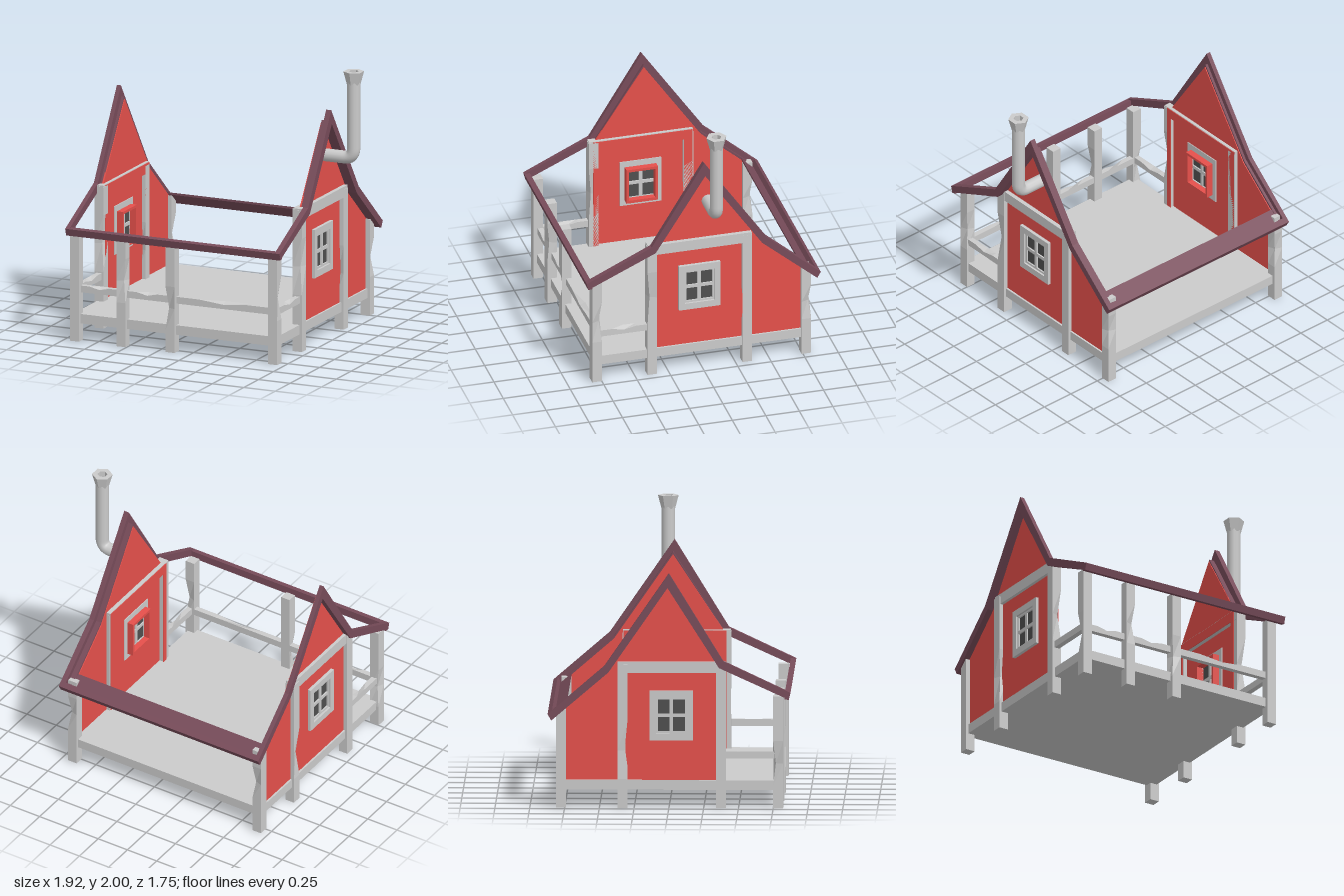
import * as THREE from 'three';

const mat = (color) => new THREE.MeshStandardMaterial({ color, flatShading: true, side: THREE.DoubleSide });

export function createModel() {
  const root = new THREE.Group();
  const grey = mat(0xcccccc), red = mat(0xe6504b), plum = mat(0x784c5a), dark = mat(0x4f4f4f);

  const add = (name, geo, material, parent = root) => {
    const m = new THREE.Mesh(geo, material);
    m.name = name;
    parent.add(m);
    return m;
  };
  const box = (x0, x1, y0, y1, z0, z1) =>
    new THREE.BoxGeometry(x1 - x0, y1 - y0, z1 - z0).translate((x0 + x1) / 2, (y0 + y1) / 2, (z0 + z1) / 2);

  // Side profile given as [z, y] points, extruded along x between two planes
  const toPts = (a) => a.map(([z, y]) => new THREE.Vector2(z, y));
  const rect = (z0, z1, y0, y1) => [[z0, y0], [z1, y0], [z1, y1], [z0, y1]];
  const slab = (pts, xa, xb, holes = []) => {
    const shape = new THREE.Shape(toPts(pts));
    holes.forEach((h) => shape.holes.push(new THREE.Path(toPts(h))));
    return new THREE.ExtrudeGeometry(shape, { depth: Math.abs(xb - xa), bevelEnabled: false })
      .rotateY(-Math.PI / 2).translate(Math.max(xa, xb), 0, 0);
  };

  // Rough-hewn timber: a box with one corner chipped at mid height
  const post = (name, x, z, h, n, parent = root) => {
    const w = 0.072, g = new THREE.BoxGeometry(w, h, w, 1, 5, 1), p = g.attributes.position;
    const sx = n % 2 ? 1 : -1, sz = n % 3 ? 1 : -1, level = 2 + (n % 2);
    for (let i = 0; i < p.count; i++) {
      const ring = Math.round((p.getY(i) / h + 0.5) * 5);
      if (ring === level && p.getX(i) * sx > 0 && p.getZ(i) * sz > 0) {
        p.setX(i, p.getX(i) - sx * 0.02);
        p.setZ(i, p.getZ(i) - sz * 0.02);
      }
    }
    add(name, g.translate(x, h / 2, z), grey, parent);
  };
  // Rail with a shallow notch in its upper edge
  const rail = (name, length, x, z, alongZ) => {
    const g = new THREE.BoxGeometry(length, 0.05, 0.04, 4, 1, 1), p = g.attributes.position;
    for (let i = 0; i < p.count; i++)
      if (Math.abs(p.getX(i)) < 0.01 && p.getY(i) > 0 && p.getZ(i) > 0) p.setY(i, 0.007);
    if (alongZ) g.rotateY(Math.PI / 2);
    add(name, g.translate(x, 0.385, z), grey);
  };

  // Floor platform with its perimeter beam
  add('floor', box(-0.93, 0.68, 0.13, 0.2, -0.79, 0.795), grey);

  // Porch posts and front rails
  const frontX = [-0.914, -0.545, -0.155, 0.66];
  frontX.forEach((x, i) => post('porchPost', x, 0.785, 0.815, i));
  for (let i = 0; i < 3; i++)
    rail('frontRail', frontX[i + 1] - frontX[i] - 0.06, (frontX[i] + frontX[i + 1]) / 2, 0.77, false);

  // Roof edge profiles, from front eave over the ridge to the back eave
  const upper = [[0.875, 0.842], [0.39, 1.07], [0, 1.705], [-0.465, 1.03], [-0.872, 0.68]];
  const lower = [[0.86, 0.793], [0.36, 1.02], [-0.01, 1.6], [-0.435, 0.985], [-0.845, 0.635]];
  const inner = lower.slice(1);
  const band = [...upper, ...[...lower].reverse()];
  const soffit = [...inner.map(([z, y]) => [z, y + 0.022]), ...[...inner].reverse()];
  const wallShape = [[0.37, 0.2], [0.37, 1.03], [-0.01, 1.605], [-0.435, 0.99], [-0.76, 0.71], [-0.76, 0.2]];
  const windowHole = rect(-0.1, 0.135, 0.53, 0.805);

  const buildSide = (s, wallX, roofW, lipW, postHalf) => {
    const side = new THREE.Group();
    side.name = s > 0 ? 'leftSide' : 'rightSide';
    root.add(side);
    const at = (u) => wallX + s * u;            // distance outward from the wall plane
    const part = (name, pts, u0, u1, material, holes) =>
      add(name, slab(pts, at(u0), at(u1), holes), material, side);

    part('gableWall', wallShape, -0.006, 0.006, red, [windowHole]);

    // Timber frame
    const c = at(0.002);
    post('wallPost', c, 0.373, 1.05, 1, side);
    post('wallPost', c, -0.335, 1.04, 2, side);
    post('backPost', c, -0.776, 0.715, 3, side);
    part('topBeam', rect(-0.37, 0.405, 0.98, 1.06), -postHalf, postHalf, grey);
    // Painted inner face of the frame
    part('innerTrim', [[0.375, 0.2], [0.375, 1.055], [-0.365, 1.055], [-0.365, 0.2],
      [-0.3, 0.2], [-0.3, 0.98], [0.335, 0.98], [0.335, 0.2]], -postHalf - 0.004, -postHalf, red);

    // Window: casing, four-light sash, panes and inner reveal
    part('windowCasing', rect(-0.138, 0.172, 0.49, 0.85), -0.012, 0.03, grey, [rect(-0.093, 0.127, 0.54, 0.8)]);
    const panes = [];
    for (const z of [-0.08, 0.029]) for (const y of [0.555, 0.683]) panes.push(rect(z, z + 0.085, y, y + 0.103));
    part('windowSash', rect(-0.095, 0.129, 0.538, 0.802), -0.015, 0.015, grey, panes);
    part('windowPane', rect(-0.09, 0.125, 0.543, 0.798), -0.006, 0.004, dark);
    part('windowReveal', windowHole, -0.06, 0.002, red, [rect(-0.08, 0.115, 0.552, 0.785)]);

    // Roof edge: raised barge board and the narrow strip of roof inside it
    part('bargeBoard', band, roofW - lipW, roofW, plum);
    part('roofStrip', soffit, 0, roofW - lipW, plum);

    rail('sideRail', 0.36, c, 0.58, true);
  };
  buildSide(1, 0.66, 0.08, 0.04, 0.037);
  buildSide(-1, -0.91, 0.052, 0.032, 0.03);

  // Front and back eaves
  add('frontEave', slab([[0.875, 0.842], [0.835, 0.848], [0.83, 0.795], [0.862, 0.79]], -0.961, 0.739), plum);
  add('backEaveLip', slab([[-0.872, 0.68], [-0.84, 0.707], [-0.815, 0.662], [-0.846, 0.635]], -0.961, 0.739), plum);
  add('backRoofStrip', slab([[-0.74, 0.74], [-0.846, 0.65], [-0.846, 0.635], [-0.74, 0.724]], -0.93, 0.7), plum);

  // Stove pipe: out of the wall, round an elbow and up
  const px = 0.895, py = 1.355, pz = -0.05, bend = 0.075;
  const path = new THREE.CurvePath();
  const v = (x, y) => new THREE.Vector3(x, y, pz);
  path.add(new THREE.LineCurve3(v(0.655, py), v(px - bend, py)));
  path.add(new THREE.QuadraticBezierCurve3(v(px - bend, py), v(px, py), v(px, py + bend)));
  path.add(new THREE.LineCurve3(v(px, py + bend), v(px, 1.92)));
  const smooth = new THREE.MeshStandardMaterial({ color: 0xcccccc, side: THREE.DoubleSide });
  add('stovePipe', new THREE.TubeGeometry(path, 48, 0.048, 12), smooth);
  // Flared six-sided cap with an open bore
  const cap = [[0.05, 1.905], [0.075, 2], [0.036, 2], [0.036, 1.93], [0, 1.93]].map(([r, y]) => new THREE.Vector2(r, y));
  add('pipeCap', new THREE.LatheGeometry(cap, 6).translate(px, 0, pz), grey);

  return root;
}
